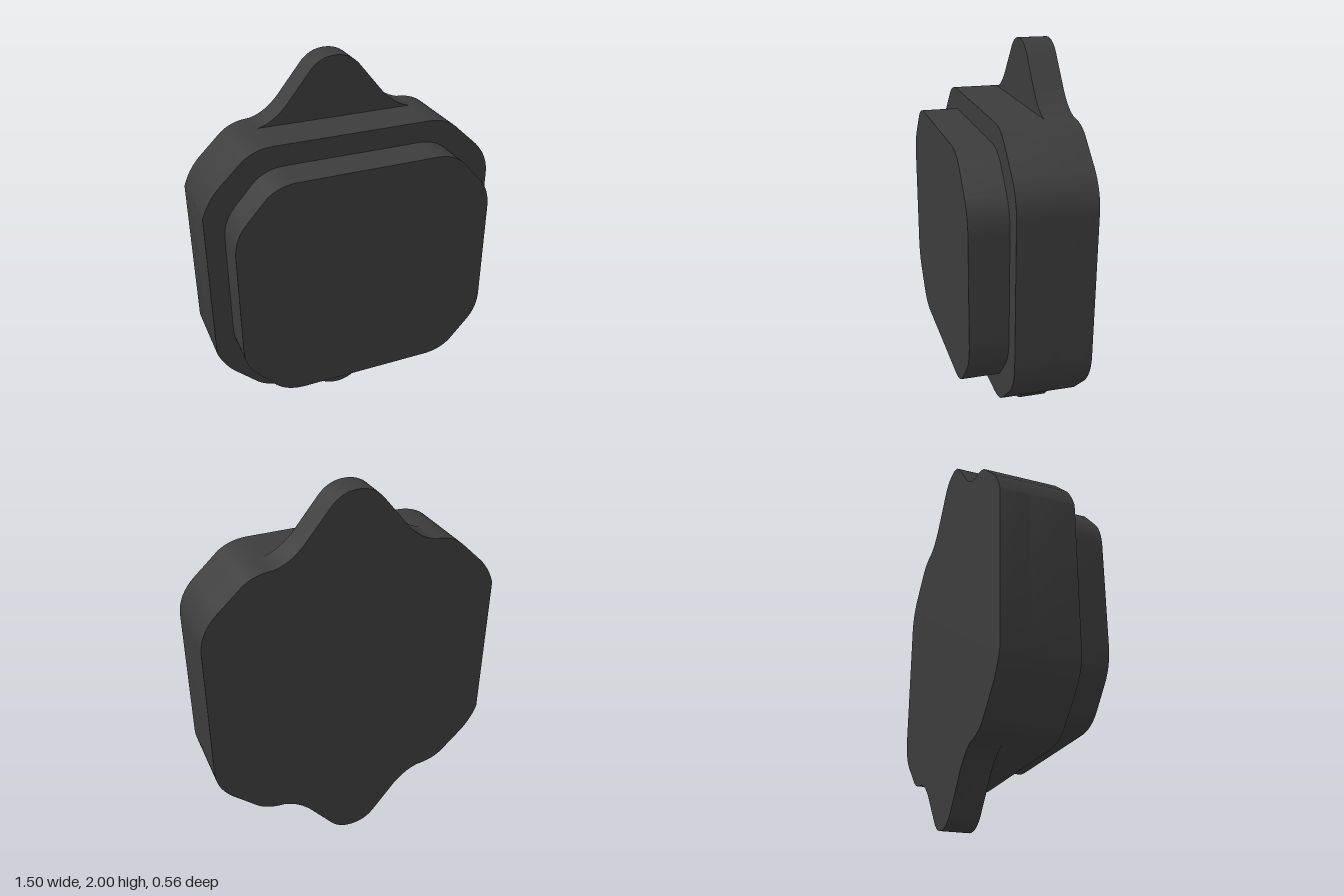
import * as THREE from 'three';
import { toCreasedNormals } from 'three/addons/utils/BufferGeometryUtils.js';

const CENTRE_Y = 1;

// Each step is [x, y] for a line or [cx, cy, x, y] for a curve, measured from the centre.
// A quarter runs from the side up to the top; the lower half mirrors it.
const bodyCorner = {
  right: [[0.75, 0.35], [0.75, 0.45, 0.67, 0.53], [0.56, 0.63], [0.5, 0.69, 0.4, 0.693]],
  left: [[0.75, 0.39], [0.725, 0.465, 0.67, 0.525], [0.56, 0.63], [0.5, 0.69, 0.4, 0.693]],
};
const ear = [[0.32, 0.71, 0.25, 0.79], [0.125, 0.943], [0.075, 1, 0, 1]];
const plateCorner = [[0.655, 0.26], [0.655, 0.36, 0.595, 0.425], [0.5, 0.53], [0.44, 0.588, 0.345, 0.588]];

// Sample a quarter into points
function quarterPoints(steps) {
  const points = [];
  for (const s of steps) {
    const end = new THREE.Vector2(s[s.length - 2], s[s.length - 1]);
    if (s.length === 4) {
      const curve = new THREE.QuadraticBezierCurve(points[points.length - 1], new THREE.Vector2(s[0], s[1]), end);
      points.push(...curve.getPoints(10).slice(1));
    } else points.push(end);
  }
  return points;
}

// Join right and left quarters and their mirrors into a closed outline
function outline(rightSteps, leftSteps) {
  const right = quarterPoints(rightSteps);
  const left = quarterPoints(leftSteps);
  const place = (points, sx, sy) => points.map((p) => new THREE.Vector2(p.x * sx, CENTRE_Y + p.y * sy));
  const all = [
    ...place(right, 1, 1),
    ...place(left, -1, 1).reverse(),
    ...place(left, -1, -1),
    ...place(right, 1, -1).reverse(),
  ];
  return new THREE.Shape(all.filter((p, i) => p.distanceTo(all[(i + 1) % all.length]) > 1e-5));
}

export function createModel() {
  const model = new THREE.Group();
  model.name = 'earedHousing';
  const material = new THREE.MeshStandardMaterial({ color: 0x3c3c3c });

  function addSlab(name, shape, back, front) {
    const geometry = new THREE.ExtrudeGeometry(shape, { depth: front - back, bevelEnabled: false });
    geometry.translate(0, 0, back);
    const mesh = new THREE.Mesh(toCreasedNormals(geometry, 0.38), material);
    mesh.name = name;
    model.add(mesh);
  }

  // Back plate with the top and bottom ears
  addSlab('earedBackPlate', outline([...bodyCorner.right, ...ear], [...bodyCorner.left, ...ear]), -0.28, -0.135);
  // Main body in front of the ears
  addSlab('body', outline(bodyCorner.right, bodyCorner.left), -0.135, 0.093);
  // Smaller raised front plate
  addSlab('frontPlate', outline(plateCorner, plateCorner), 0.093, 0.28);

  return model;
}
